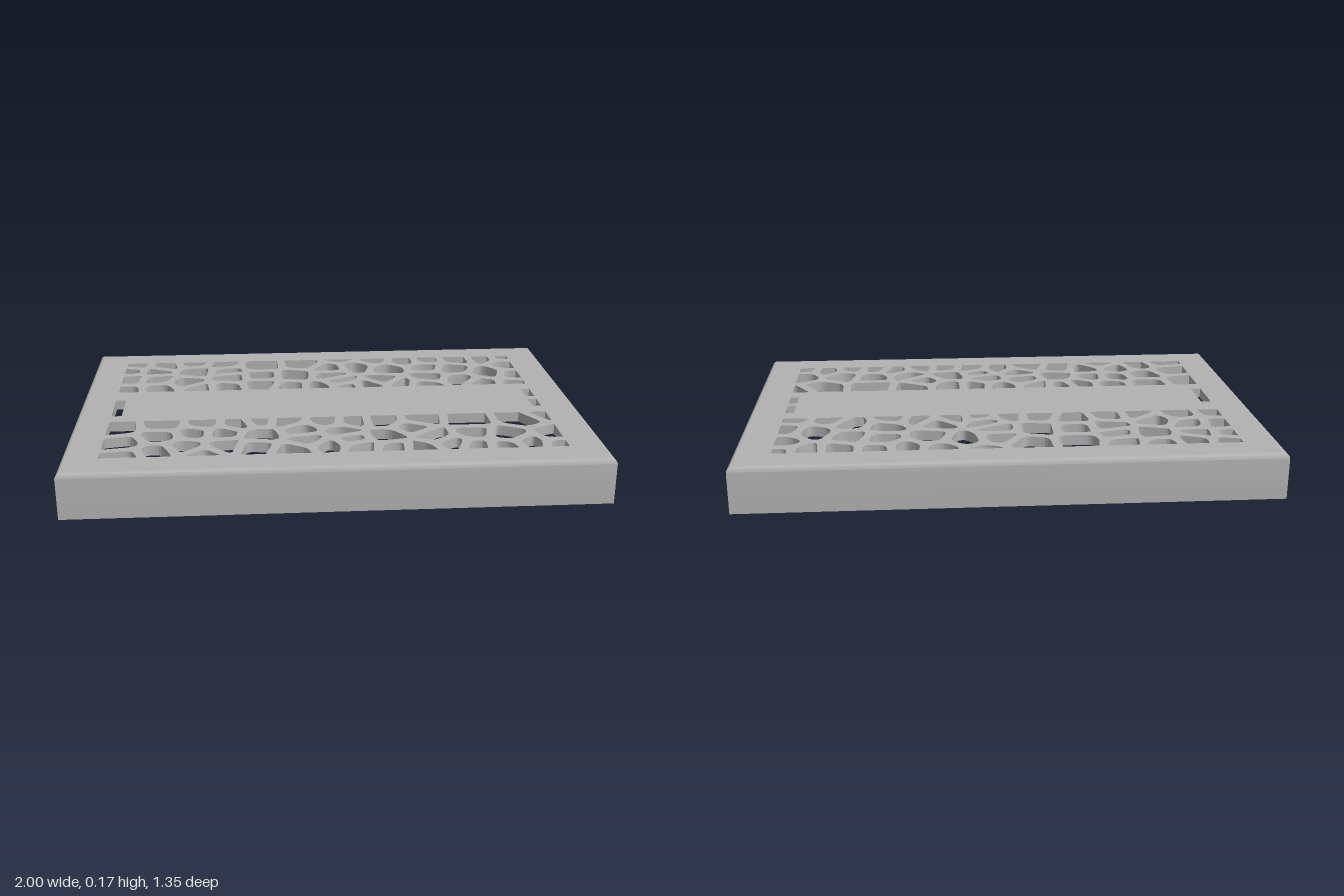
import * as THREE from 'three';
import { toCreasedNormals } from 'three/addons/utils/BufferGeometryUtils.js';

const HEIGHT = 0.175, PLATE = 0.04, COVER = 0.01, WALL = 0.015, HALF_X = 1, HALF_Z = 0.675;
const STRUT = 0.017; // half the width of a web strut
const BAND = { x: 0.825, back: -0.16, front: 0.18 };

// Cell centres of the web (x, z in hundredths)
const backCells = [
  -82, -52, -70, -50, -56, -53, -44, -51, -27, -48, -8, -49, 10, -57, 24, -53, 38, -51, 48, -52, 62, -52, 74, -53, 84, -54,
  -84, -44, -73, -43, -55, -42, -42, -41, -27, -34, -12, -34, 3, -42, 16, -44, 29, -40, 47, -41, 58, -38, 73, -32, 84, -42,
  -83, -33, -72, -32, -59, -27, -40, -33, 3, -33, 7, -25, 26, -25, 46, -28, 59, -24, 84, -29,
  -84, -18, -70, -20, -53, -19, -42, -20, -27, -23, -14, -19, -2, -18, 9, -18, 20, -19, 33, -20, 43, -18, 68, -18, 82, -16,
];
const sideCells = [-85, 2, 84, -5, 85, 8];
const frontCells = [
  -83, 25, -65, 22, -50, 22, -37, 23, -28, 20, -18, 21, -2, 22, 8, 23, 20, 23, 35, 23, 53, 25, 74, 24, 84, 18,
  -80, 40, -66, 34, -53, 31, -42, 32, -28, 35, -12, 31, 3, 33, -10, 41, 6, 42, 20, 39, 31, 31, 38, 40, 66, 41, 53, 38, 84, 42,
  -78, 53, -66, 49, -56, 45, -49, 53, -41, 45, -30, 47, -16, 51, -2, 47, 9, 49, 22, 51, 31, 52, 44, 48, 52, 51, 63, 52, 73, 49, 84, 51,
];

// Keeps the part of a convex polygon where nx * x + ny * y <= d
function clip(poly, nx, ny, d) {
  const out = [];
  poly.forEach((a, i) => {
    const b = poly[(i + 1) % poly.length];
    const da = nx * a.x + ny * a.y - d, db = nx * b.x + ny * b.y - d;
    if (da <= 0) out.push(a);
    if (da * db < 0) out.push(a.clone().lerp(b, da / (da - db)));
  });
  return out;
}

// Rounds the corners of a convex polygon
function rounded(poly, cut = 0.03) {
  const out = [];
  poly.forEach((p, i) => {
    const towards = (q) => p.clone().lerp(q, Math.min(0.42, cut / p.distanceTo(q)));
    const a = towards(poly[(i + poly.length - 1) % poly.length]);
    const b = towards(poly[(i + 1) % poly.length]);
    out.push(...new THREE.QuadraticBezierCurve(a, p, b).getPoints(4));
  });
  return out;
}

// Drops points that coincide
const tidy = (poly) => poly.filter((p, i) => p.distanceTo(poly[(i + 1) % poly.length]) > 1e-4);

// Openings of the irregular web: inset Voronoi cells trimmed to the window and band
function webHoles() {
  const seeds = [];
  [backCells, sideCells, frontCells].forEach((list, zone) => {
    for (let i = 0; i < list.length; i += 2) {
      seeds.push({ p: new THREE.Vector2(list[i] / 100, list[i + 1] / 100), zone });
    }
  });
  const holes = [];
  for (const { p, zone } of seeds) {
    let cell = [[-1.1, -0.8], [1.1, -0.8], [1.1, 0.8], [-1.1, 0.8]].map(([x, y]) => new THREE.Vector2(x, y));
    for (const { p: q } of seeds) {
      if (q === p) continue;
      const n = q.clone().sub(p).normalize();
      const mid = p.clone().add(q).multiplyScalar(0.5);
      cell = clip(cell, n.x, n.y, n.dot(mid) - STRUT);
    }
    if (cell.length < 3) continue;
    cell = rounded(tidy(cell));
    cell = clip(cell, 1, 0, 0.86);
    cell = clip(cell, -1, 0, 0.865);
    cell = clip(cell, 0, 1, 0.54);
    cell = clip(cell, 0, -1, 0.545);
    if (zone === 0) cell = clip(cell, 0, 1, BAND.back);
    if (zone === 1) cell = clip(cell, -Math.sign(p.x), 0, -BAND.x);
    if (zone === 2) cell = clip(cell, 0, -1, -BAND.front);
    cell = tidy(cell);
    if (cell.length > 2 && Math.abs(THREE.ShapeUtils.area(cell)) > 0.0004) holes.push(cell);
  }
  return holes;
}

// Honeycomb pockets under the solid band
function hexHoles() {
  const holes = [], pitch = 0.12, radius = 0.06;
  for (let row = -1; row <= 1; row++) {
    const count = row === 0 ? 13 : 12;
    for (let i = 0; i < count; i++) {
      const cx = (i - (count - 1) / 2) * pitch, cz = 0.01 + row * pitch * 0.866;
      holes.push(Array.from({ length: 6 }, (_, k) => {
        const a = (k + 0.5) * Math.PI / 3;
        return new THREE.Vector2(cx + radius * Math.cos(a), cz + radius * Math.sin(a));
      }));
    }
  }
  return holes;
}

// Flat perforated layer whose upper face lies at the given height
function layer(holes, top, depth) {
  const x = HALF_X - 0.02, z = HALF_Z - 0.02;
  const shape = new THREE.Shape([[-x, -z], [x, -z], [x, z], [-x, z]].map(([a, b]) => new THREE.Vector2(a, b)));
  shape.holes = holes.map((h) => new THREE.Path(h));
  return new THREE.ExtrudeGeometry(shape, { depth, bevelEnabled: false }).rotateX(Math.PI / 2).translate(0, top, 0);
}

// Thin skirt with a rounded upper edge: four-sided lathe stretched along x
function skirtGeometry() {
  const r = 0.02, inner = HALF_Z - WALL;
  const profile = [[HALF_Z - r, HEIGHT - PLATE], [inner, HEIGHT - PLATE], [inner, 0], [HALF_Z, 0]];
  for (let i = 0; i <= 6; i++) {
    const a = i / 6 * Math.PI / 2;
    profile.push([HALF_Z - r + r * Math.cos(a), HEIGHT - r + r * Math.sin(a)]);
  }
  const geo = new THREE.LatheGeometry(profile.map(([h, y]) => new THREE.Vector2(h * Math.SQRT2, y)), 4).rotateY(Math.PI / 4);
  const pos = geo.attributes.position;
  for (let i = 0; i < pos.count; i++) pos.setX(i, pos.getX(i) + Math.sign(pos.getX(i)) * (HALF_X - HALF_Z));
  return toCreasedNormals(geo, Math.PI / 6);
}

export function createModel() {
  const model = new THREE.Group();
  model.name = 'perforatedCover';
  const grey = new THREE.MeshStandardMaterial({ color: 0xb2b2b2 });
  grey.name = 'grey';
  const add = (name, geometry) => {
    const mesh = new THREE.Mesh(geometry, grey);
    mesh.name = name;
    model.add(mesh);
    return mesh;
  };

  add('skirt', skirtGeometry());

  // Top panel: web openings go right through, the honeycomb stays closed above
  const web = webHoles();
  add('topPanel', layer(web, HEIGHT, COVER));
  add('panelUnderside', layer([...web, ...hexHoles()], HEIGHT - COVER, PLATE - COVER));

  // Small snap bumps inside the long walls
  const bump = new THREE.SphereGeometry(0.014, 14, 10);
  for (const x of [-0.65, 0.65]) {
    for (const side of [-1, 1]) {
      add('snapBump', bump).position.set(x, 0.085, side * (HALF_Z - WALL));
    }
  }
  return model;
}
